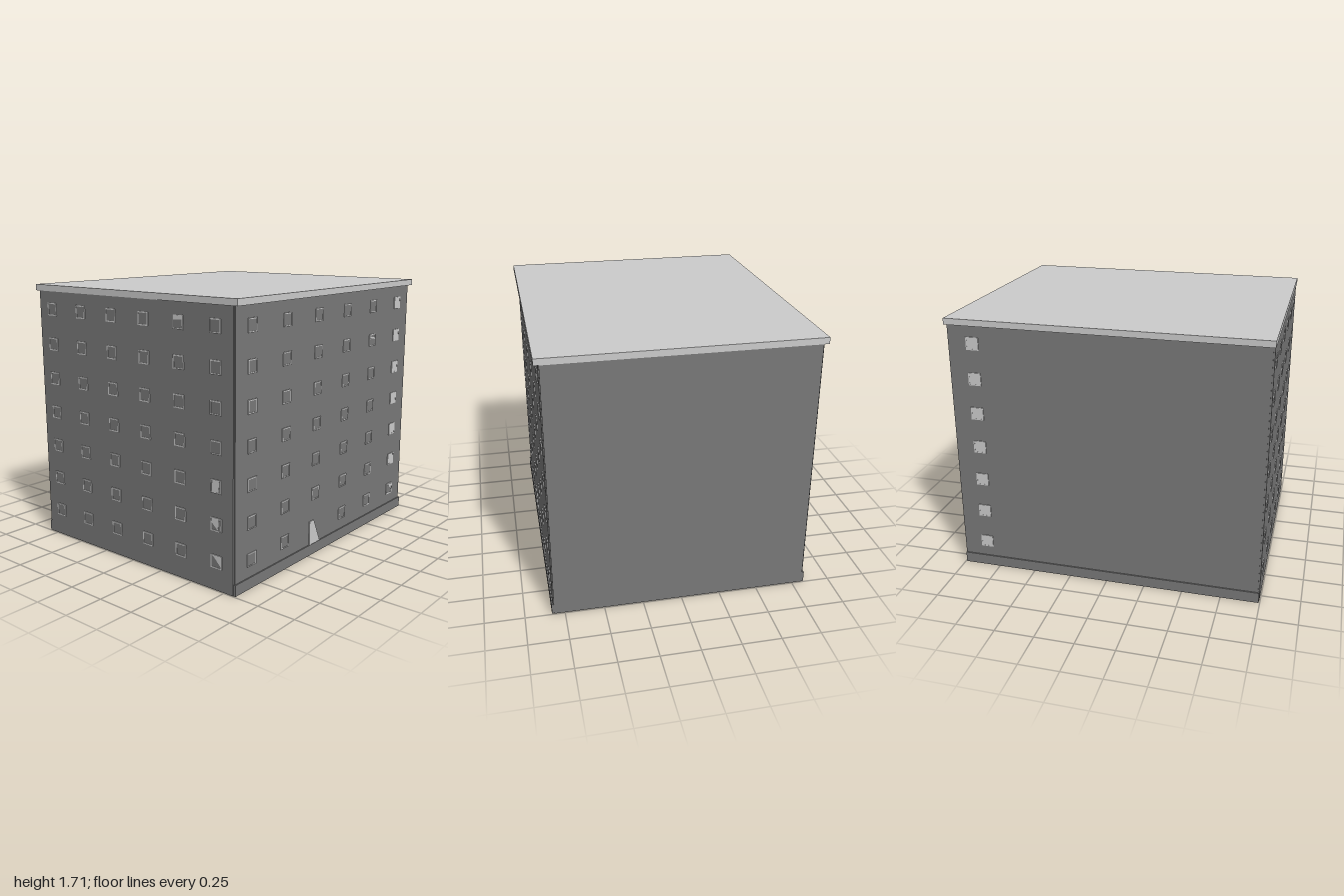
import * as THREE from 'three';

const light = new THREE.MeshStandardMaterial({ color: 0xcccccc });
const dark = new THREE.MeshStandardMaterial({ color: 0x797979 });
const FLOORS = 7, COLUMNS = 6;
const floorY = (i) => 0.18 + i * 0.229;

function box(name, material, w, h, d, x, y, z) {
  const mesh = new THREE.Mesh(new THREE.BoxGeometry(w, h, d), material);
  mesh.name = name;
  mesh.position.set(x, y, z);
  return mesh;
}

// Thin plate from a 2D outline, standing in the xy plane
function plate(name, points, depth, hole) {
  const shape = new THREE.Shape(points.map(([x, y]) => new THREE.Vector2(x, y)));
  if (hole) shape.holes.push(new THREE.Path(hole.map(([x, y]) => new THREE.Vector2(x, y))));
  const mesh = new THREE.Mesh(
    new THREE.ExtrudeGeometry(shape, { depth, bevelEnabled: false }), light);
  mesh.name = name;
  return mesh;
}

const square = (r) => [[-r, -r], [r, -r], [r, r], [-r, r]];

// Square frame around a dark pane; an optional pale panel fills part of it
function makeWindow(panel) {
  const g = new THREE.Group();
  g.name = 'window';
  g.add(plate('windowFrame', square(0.041), 0.005, square(0.034).reverse()));
  g.add(box('windowPane', dark, 0.068, 0.068, 0.003, 0, 0, 0.0015));
  if (panel) {
    const p = plate('palePanel', panel, 0.001);
    p.position.z = 0.0032;
    g.add(p);
  }
  return g;
}

export function createModel() {
  const model = new THREE.Group();
  model.name = 'apartmentBlock';

  // Main volume, side walls, base and roof slab
  model.add(box('walls', dark, 1.636, 1.67, 1.99, 0, 0.835, 0));
  model.add(box('sideWalls', dark, 1.648, 1.67, 1.97, 0, 0.835, 0));
  model.add(box('plinth', dark, 1.664, 0.07, 1.985, 0, 0.035, 0));
  model.add(box('roofSlab', light, 1.7, 0.04, 2, 0, 1.69, 0));

  // Pale panels, keyed by column and floor
  const frontPanels = {
    '4,6': [[-0.036, 0.012], [0.036, 0.018], [0.036, 0.034], [-0.036, 0.034]],
    '5,2': [[-0.03, -0.034], [0.02, -0.034], [0.026, 0.034], [-0.024, 0.034]],
    '5,1': [[-0.034, 0.01], [0.016, -0.034], [0.022, 0.034], [-0.034, 0.034]],
    '5,0': [[-0.024, 0.034], [0.034, -0.024], [0.034, 0.034]],
  };
  const sidePanels = {
    '4,5': [[-0.034, 0.017], [0.034, 0.004], [0.034, 0.015], [-0.034, 0.027]],
    '5,0': [[-0.022, 0.032], [0.034, -0.014], [0.034, 0.032]],
  };

  for (let c = 0; c < COLUMNS; c++) {
    for (let f = 0; f < FLOORS; f++) {
      // Front windows
      const front = makeWindow(frontPanels[`${c},${f}`]);
      front.position.set(-0.697 + c * 0.278, floorY(f), 0.995);
      model.add(front);

      // Windows on the +x side; the door takes one place on the ground floor
      const z = 0.833 - c * 0.333;
      if (c === 2 && f === 0) continue;
      const rearFilled = c === COLUMNS - 1 && f > 0;
      const side = makeWindow(rearFilled ? square(0.034) : sidePanels[`${c},${f}`]);
      side.position.set(0.824, floorY(f), z);
      side.rotation.y = Math.PI / 2;
      model.add(side);

      // The -x side has only the rear column
      if (c === COLUMNS - 1) {
        const opposite = makeWindow(square(0.034));
        opposite.position.set(-0.824, floorY(f), z);
        opposite.rotation.y = -Math.PI / 2;
        model.add(opposite);
      }
    }
  }

  // Wedge-shaped side door above the plinth
  const door = plate('sideDoor', [[-0.06, 0], [0.06, 0], [-0.012, 0.16], [-0.06, 0.16]], 0.006);
  door.position.set(0.824, 0.07, 0.17);
  door.rotation.y = Math.PI / 2;
  model.add(door);

  return model;
}
